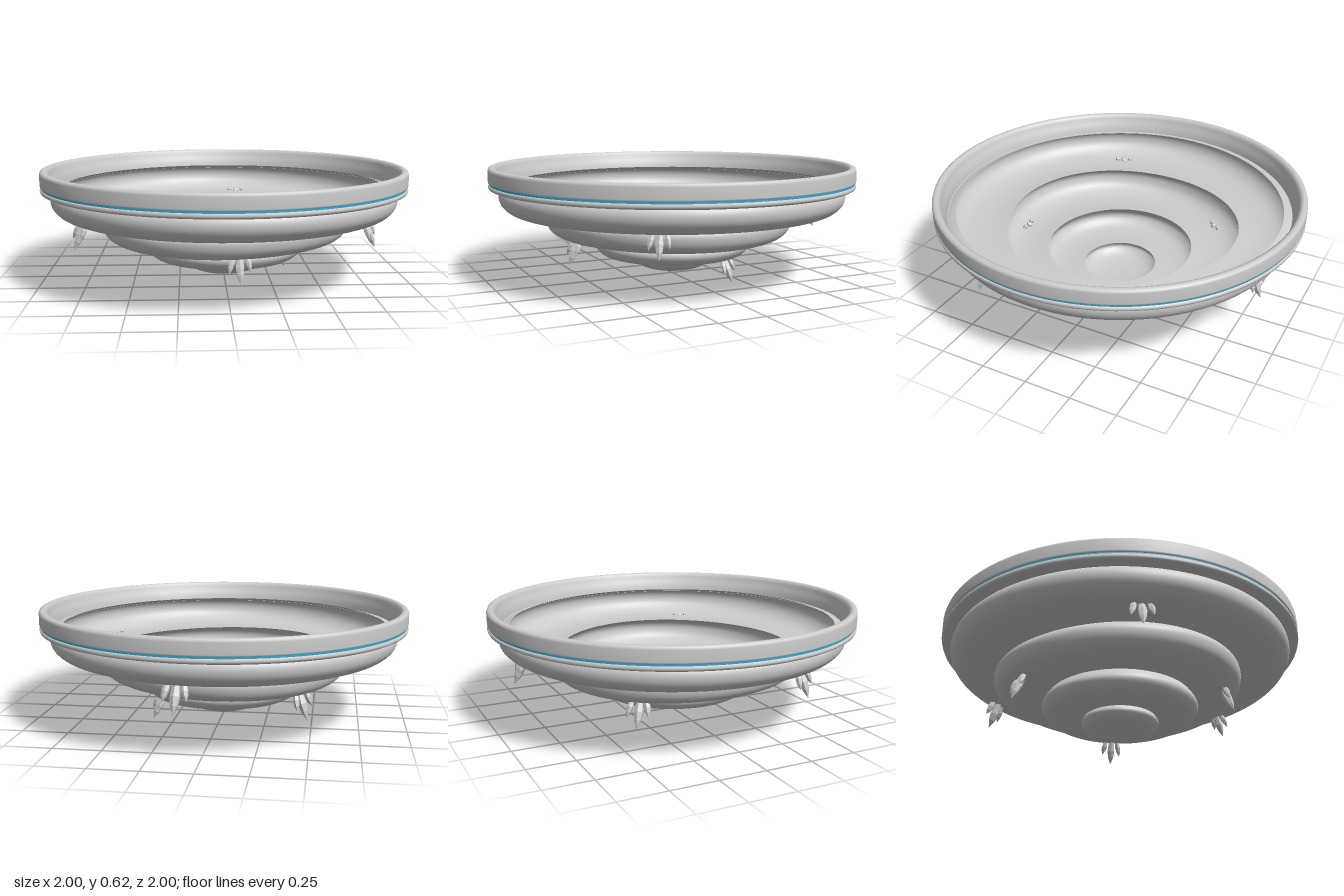
import * as THREE from 'three';

const V = (x, y) => new THREE.Vector2(x, y);

export function createModel() {
  const model = new THREE.Group();
  const stone = new THREE.MeshStandardMaterial({ color: 0xcccccc, side: THREE.DoubleSide });
  stone.name = 'pale stone';
  const glow = new THREE.MeshStandardMaterial({ color: 0x1fb4e6, side: THREE.DoubleSide });
  glow.name = 'cyan strip';

  const add = (name, geo, mat, parent = model) => {
    const mesh = new THREE.Mesh(geo, mat);
    mesh.name = name;
    parent.add(mesh);
    return mesh;
  };

  // Make the third tier slightly irregular, fading out away from its edge
  const wobble = (geo) => {
    const p = geo.attributes.position;
    for (let i = 0; i < p.count; i++) {
      const x = p.getX(i), z = p.getZ(i), r = Math.hypot(x, z);
      if (r < 1e-4) continue;
      const a = Math.atan2(z, x);
      const w = Math.exp(-(((r - 0.66) / 0.12) ** 2));
      const k = 1 + (w * (0.015 * Math.cos(3 * a) - 0.01 * Math.cos(a))) / r;
      p.setX(i, x * k);
      p.setZ(i, z * k);
    }
    return geo;
  };

  // Stepped bowl: every tier is its own smooth bulging shell, creased where they meet
  const tiers = {
    centreDish: [[0, 0.03], [0.1, 0.034], [0.17, 0.05], [0.21, 0.085], [0.2, 0.115]],
    lowerTier: [[0.2, 0.115], [0.3, 0.11], [0.38, 0.12], [0.42, 0.15], [0.43, 0.185], [0.402, 0.23]],
    middleTier: [[0.402, 0.23], [0.5, 0.22], [0.6, 0.227], [0.66, 0.26], [0.68, 0.31], [0.67, 0.345], [0.64, 0.37]],
    upperTier: [[0.64, 0.37], [0.75, 0.36], [0.87, 0.37], [0.93, 0.41], [0.947, 0.46], [0.93, 0.5], [0.885, 0.52]],
  };
  for (const [name, pts] of Object.entries(tiers)) {
    const curve = new THREE.SplineCurve(pts.map((p) => V(...p)));
    add(name, wobble(new THREE.LatheGeometry(curve.getPoints(24), 96)), stone);
  }

  // Rim: lower lip, thin strip in the gap, and rounded upper band
  const ring = (name, pts, mat) => add(name, new THREE.LatheGeometry(pts.map((p) => V(...p)), 96), mat);
  ring('lowerLip', [[0.92, 0.503], [0.985, 0.5], [0.997, 0.506], [1, 0.515], [0.997, 0.526], [0.985, 0.528]], stone);
  ring('lightStrip', [[0.993, 0.524], [0.993, 0.538]], glow);
  ring('upperBand', [[0.985, 0.534], [0.998, 0.536], [1, 0.545], [1, 0.6], [0.996, 0.612], [0.985, 0.617],
    [0.972, 0.617], [0.96, 0.61], [0.955, 0.595], [0.945, 0.56], [0.935, 0.545], [0.93, 0.51]], stone);

  // Faceted crystal hanging down from its origin
  const crystal = new THREE.LatheGeometry(
    [V(0, -1), V(0.75, -0.7), V(1, -0.42), V(0.65, 0), V(0, 0.06)], 6).toNonIndexed();
  crystal.computeVertexNormals();

  // Crystal clusters: x, y, z, scale; each leans outward from the centre
  const clusters = [
    [0.11, 0.37, -0.81, 1.05], [-0.44, 0.235, -0.39, 1], [0.32, 0.121, -0.16, 0.88],
    [-0.73, 0.37, 0.35, 1], [0.71, 0.368, 0.4, 0.88], [0.05, 0.24, 0.57, 0.95],
  ];
  for (const [x, y, z, s] of clusters) {
    const g = new THREE.Group();
    g.name = 'crystalCluster';
    g.position.set(x, y, z);
    g.rotation.order = 'YXZ';
    g.rotation.set(-0.4, Math.atan2(x, z), 0);
    g.scale.setScalar(s);
    add('mainCrystal', crystal, stone, g).scale.set(0.025, 0.15, 0.025);
    for (const side of [-1, 1]) {
      const c = add('sideCrystal', crystal, stone, g);
      c.position.set(side * 0.036, 0, 0.008);
      c.rotation.z = side * 0.22;
      c.scale.set(0.018, side > 0 ? 0.09 : 0.1, 0.018);
    }
    model.add(g);
  }
  return model;
}
